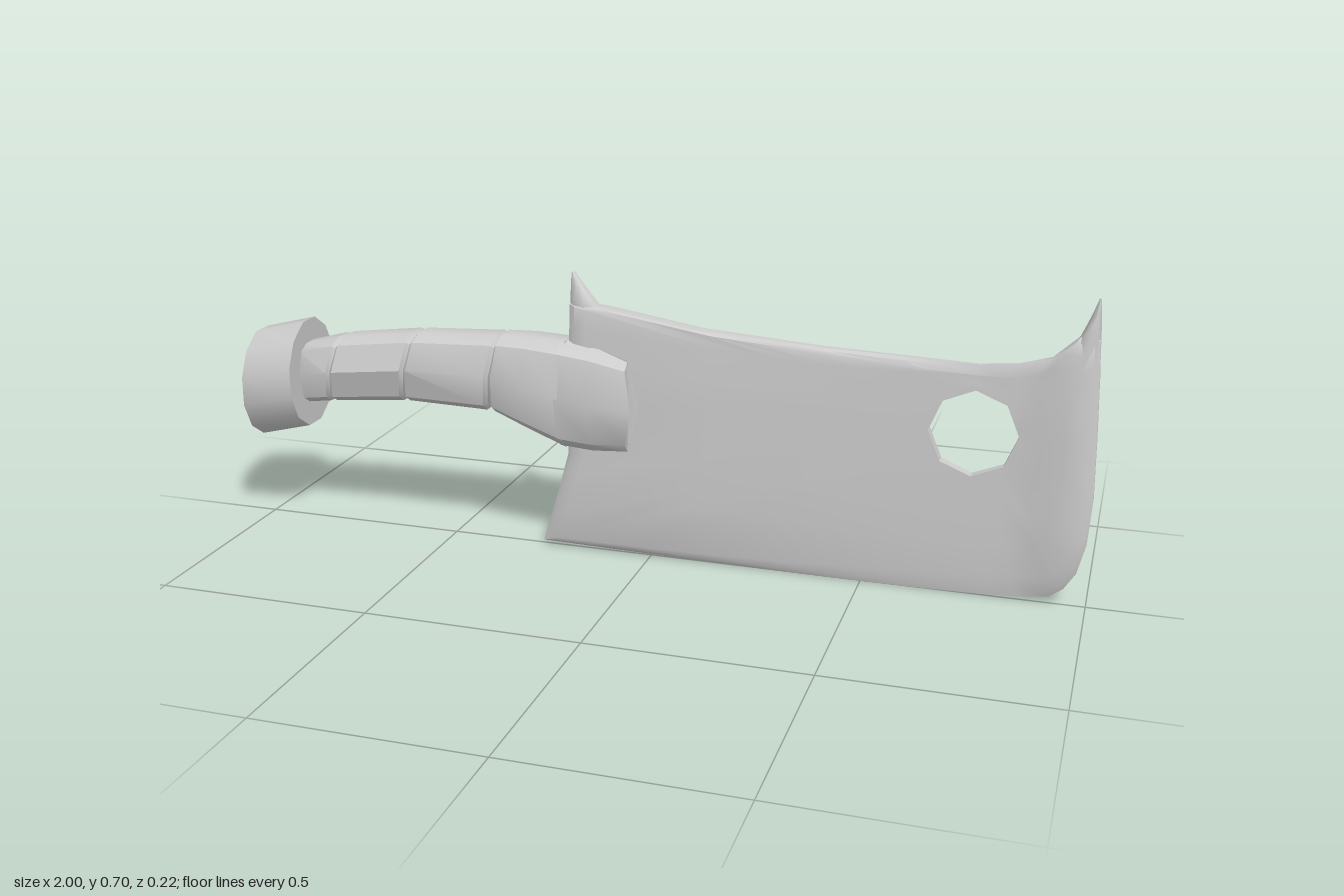
import * as THREE from 'three';
import { toCreasedNormals } from 'three/addons/utils/BufferGeometryUtils.js';

const material = new THREE.MeshStandardMaterial({ color: 0xcccccc });
const { lerp, smoothstep, degToRad } = THREE.MathUtils;

// Skin a list of point rings; rings run counter-clockwise seen from the end.
function loft(name, rings, closed = false, crease = 0.6) {
  const n = rings[0].length, m = rings.length;
  const pos = rings.flat(2), index = [];
  for (let j = 0; j < (closed ? m : m - 1); j++) {
    const k = (j + 1) % m;
    for (let i = 0; i < n; i++) {
      const h = (i + 1) % n;
      const a = j * n + i, b = j * n + h, c = k * n + h, d = k * n + i;
      index.push(a, b, c, a, c, d);
    }
  }
  if (!closed) {
    for (const j of [0, m - 1]) {
      const c = pos.length / 3;
      for (let q = 0; q < 3; q++) pos.push(rings[j].reduce((s, p) => s + p[q], 0) / n);
      for (let i = 0; i < n; i++) {
        const a = j * n + i, b = j * n + (i + 1) % n;
        if (j) index.push(c, a, b); else index.push(c, b, a);
      }
    }
  }
  const geo = new THREE.BufferGeometry();
  geo.setAttribute('position', new THREE.Float32BufferAttribute(pos, 3));
  geo.setIndex(index);
  const mesh = new THREE.Mesh(toCreasedNormals(geo, crease), material);
  mesh.name = name;
  return mesh;
}

// Piecewise linear lookup in [[x, value], ...]
function ramp(table, x) {
  for (let i = 1; i < table.length; i++) {
    const [x0, v0] = table[i - 1], [x1, v1] = table[i];
    if (x <= x1) return lerp(v0, v1, Math.max(0, (x - x0) / (x1 - x0)));
  }
  return table[table.length - 1][1];
}

// Half thickness of the blade: thins toward the hole, swells at the far end
function thickness(x, y) {
  const along = lerp(0.035, 0.012, smoothstep(x, -0.3, 1.05) * 1.15)
    + 0.019 * smoothstep(x, 0.84, 0.93);
  return along * ramp([[0, 0.5], [0.14, 1], [0.42, 1], [0.5, 0.88], [0.62, 0.65]], y);
}

// Blade outline: x, y, and the matching angle on the octagonal hole
const OUTLINE = [
  [0.995, 0.38, 0], [0.99, 0.52, 15], [0.985, 0.61, 25], [0.945, 0.613, 38],
  [0.89, 0.562, 45], [0.82, 0.543, 68], [0.735, 0.535, 90], [0.4, 0.545, 135],
  [0.1, 0.565, 150], [-0.125, 0.6, 162], [-0.194, 0.6, 166], [-0.195, 0.5, 172],
  [-0.2, 0.38, 180], [-0.2, 0.24, 188], [-0.225, 0.15, 196], [-0.268, 0.01, 205],
  [0.1, 0.003, 215], [0.4, 0, 225], [0.62, 0, 250], [0.735, 0.002, 270],
  [0.85, 0.007, 290], [0.92, 0.018, 302], [0.95, 0.04, 310], [0.975, 0.08, 315],
  [0.992, 0.15, 335], [0.998, 0.25, 348],
];

function blade() {
  const rings = [];
  OUTLINE.forEach((p, i) => {
    const q = OUTLINE[(i + 1) % OUTLINE.length];
    for (let s = 0; s < 2; s++) {
      const x = lerp(p[0], q[0], s / 2), y = lerp(p[1], q[1], s / 2);
      const deg = lerp(p[2], q[2] || 360 * (i > 0), s / 2);
      const r = 0.098 * Math.cos(Math.PI / 8) / Math.cos(degToRad(deg % 45 - 22.5));
      const hx = 0.735 + r * Math.cos(degToRad(deg)), hy = 0.38 + r * Math.sin(degToRad(deg));
      const len = Math.hypot(x - hx, y - hy);
      // From hole rim to outer edge: fraction and share of full thickness
      const rows = [[0, 1], [0.3, 1], [0.6, 1], [1 - 0.045 / len, 1],
        [1 - 0.015 / len, 0.8], [1, 0.4]];
      const front = rows.map(([t, f]) => {
        const px = lerp(hx, x, t), py = lerp(hy, y, t);
        return [px, py, f * thickness(px, py)];
      });
      rings.push([...front, ...front.map(([a, b, c]) => [a, b, -c]).reverse()]);
    }
  });
  return loft('blade', rings, true, 0.7);
}

// Pointed corner rising from the blade: sections of y, x from, x to, half depth
function spike(name, sections) {
  return loft(name, sections.map(([y, x0, x1, hz]) =>
    Array.from({ length: 8 }, (_, i) => {
      const a = i * Math.PI / 4;
      return [(x0 + x1) / 2 + (x1 - x0) / 2 * Math.sin(a), y, hz * Math.cos(a)];
    })), false, 0.9);
}

// Handle cross-section as fractions of half depth (z) and half height (y)
const GRIP = [[-0.32, 1], [0.32, 1], [0.74, 0.82], [1, 0.05], [0.74, -0.78],
  [0.34, -1], [-0.34, -1], [-0.74, -0.78], [-1, 0.05], [-0.74, 0.82]];

function gripRing([x, bottom, top, hz], scale = 1, slant = 0.016) {
  const cy = (bottom + top) / 2, hy = (top - bottom) / 2;
  return GRIP.map(([z, y]) => [x + slant * y, cy + hy * y * scale, hz * z * scale]);
}

// Grip piece with narrowed ends, leaving a groove against its neighbour
function gripSegment(name, a, b, slant) {
  const at = (t) => a.map((v, i) => lerp(v, b[i], t));
  const e = 0.008 / (b[0] - a[0]);
  return loft(name, [gripRing(at(0), 0.9, slant), gripRing(at(e), 1, slant),
    gripRing(at(1 - e), 1, slant), gripRing(at(1), 0.9, slant)]);
}

// Half of the forked guard that clasps one face of the blade
function cheek(name, side) {
  const rings = [
    // x, bottom, top, outer z, inner z, bulge of the middle in x
    [-0.21, 0.262, 0.516, 0.086, 0.0, 0],
    [-0.13, 0.257, 0.507, 0.089, 0.025, 0.005],
    [-0.042, 0.268, 0.488, 0.094, 0.05, 0.02],
  ].map(([x, lo, hi, w, inner, bulge]) => {
    const c = (lo + hi) / 2, h = (hi - lo) / 2;
    const ring = [[x, hi, inner], [x, c + h * 0.97, Math.max(inner, w * 0.4)],
      [x, c + h * 0.82, w * 0.74], [x + bulge, c, w], [x, c - h * 0.78, w * 0.74],
      [x, c - h * 0.97, Math.max(inner, w * 0.42)], [x, lo, inner],
      [x + bulge, c, Math.min(inner, 0.03)]];
    return side > 0 ? ring : ring.map(([a, b, z]) => [a, b, -z]).reverse();
  });
  return loft(name, rings);
}

export function createModel() {
  const group = new THREE.Group();
  group.name = 'cleaver';

  group.add(blade());
  group.add(spike('heelSpike', [[0.5, -0.195, -0.09, 0.022], [0.6, -0.195, -0.122, 0.02],
    [0.64, -0.193, -0.155, 0.014], [0.673, -0.191, -0.181, 0.005]]));
  group.add(spike('tipSpike', [[0.5, 0.9, 0.99, 0.024], [0.61, 0.942, 0.986, 0.02],
    [0.66, 0.963, 0.983, 0.014], [0.697, 0.976, 0.98, 0.003]]));

  // Grip: x, bottom, top, half depth at each joint
  const joints = [[-0.9, 0.3, 0.45, 0.058], [-0.785, 0.318, 0.48, 0.08],
    [-0.59, 0.337, 0.505, 0.082], [-0.375, 0.332, 0.516, 0.082]];
  for (let i = 0; i < 3; i++) {
    group.add(gripSegment('gripSegment' + (i + 1), joints[i], joints[i + 1], 0.014));
  }

  // Guard collar and the two cheeks
  group.add(loft('guard', [
    gripRing([-0.375, 0.332, 0.516, 0.08], 0.9, 0.012),
    gripRing([-0.367, 0.33, 0.517, 0.08], 1, 0.01),
    gripRing([-0.29, 0.296, 0.519, 0.084], 1, 0.004),
    gripRing([-0.2, 0.26, 0.515, 0.086], 1, 0),
  ]));
  group.add(cheek('leftCheek', 1), cheek('rightCheek', -1));

  // Pommel: a sheared twelve-sided drum
  group.add(loft('pommel', [[-1, 0.345], [-0.87, 0.378]].map(([x, cy]) =>
    Array.from({ length: 12 }, (_, i) => {
      const a = (i + 0.5) * Math.PI / 6;
      return [x, cy + 0.135 * Math.cos(a), 0.114 * Math.sin(a)];
    }))));
  return group;
}
